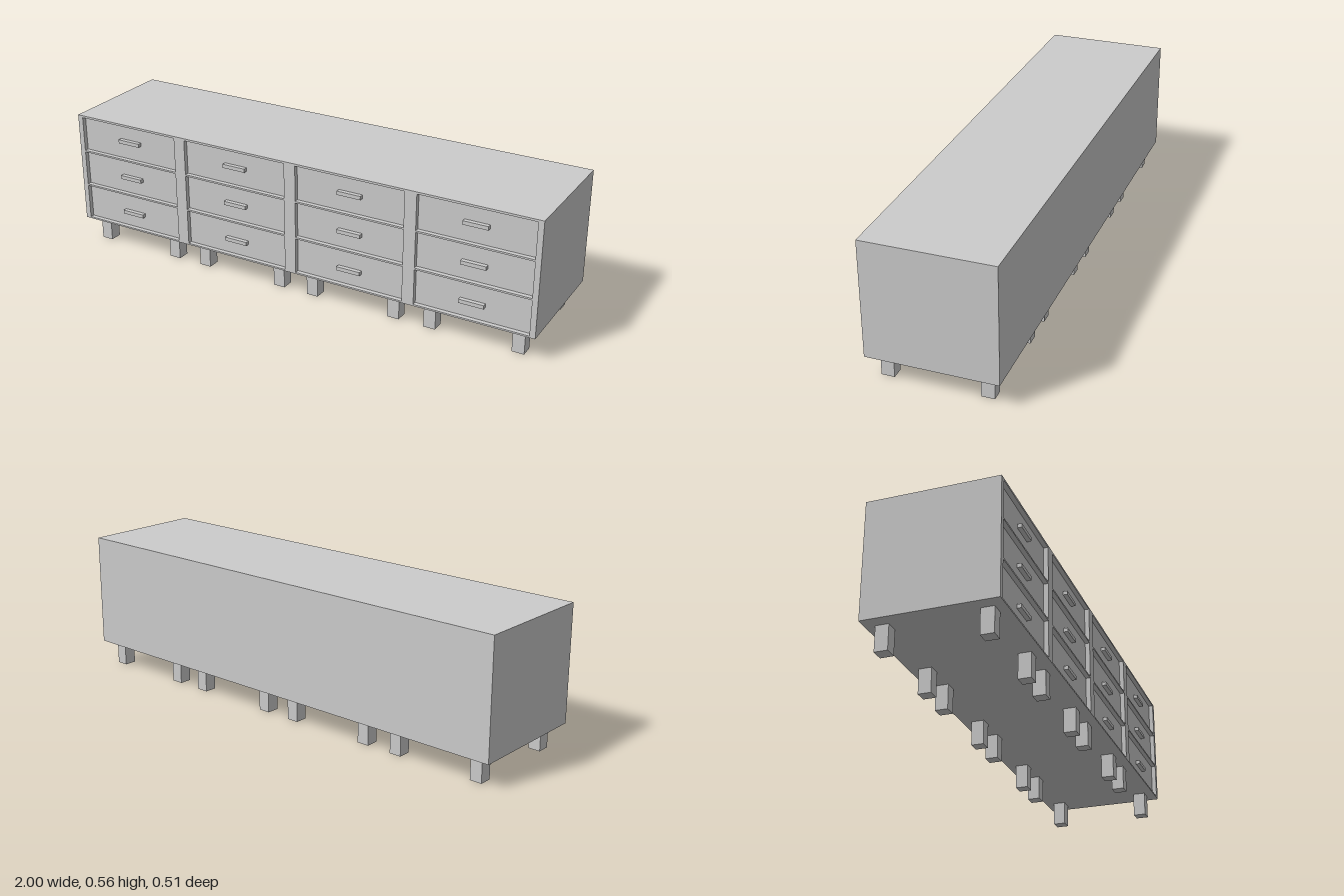
import * as THREE from 'three';

const material = new THREE.MeshStandardMaterial({ color: 0xcccccc, flatShading: true });

function add(parent, name, geometry, x, y, z) {
  const mesh = new THREE.Mesh(geometry, material);
  mesh.name = name;
  mesh.position.set(x, y, z);
  parent.add(mesh);
  return mesh;
}

function rectangle(target, x0, y0, x1, y1) {
  target.moveTo(x0, y0);
  target.lineTo(x1, y0);
  target.lineTo(x1, y1);
  target.lineTo(x0, y1);
  target.closePath();
  return target;
}

export function createModel() {
  const model = new THREE.Group();
  model.name = 'sideboard';

  const halfWidth = 0.998, halfDepth = 0.248;
  const bottom = 0.097, top = 0.555, recess = 0.018;
  const columns = [-0.75, -0.25, 0.25, 0.75];
  const rows = [0.475, 0.325, 0.175];
  const drawerWidth = 0.452, drawerHeight = 0.143;

  // Cabinet body, its front set back to the drawer faces
  const depth = 2 * halfDepth - recess;
  add(model, 'cabinetBody', new THREE.BoxGeometry(2 * halfWidth, top - bottom, depth),
    0, (top + bottom) / 2, -recess / 2);

  // Front frame with one opening per drawer
  const frame = rectangle(new THREE.Shape(), -halfWidth, bottom, halfWidth, top);
  for (const x of columns) {
    for (const y of rows) {
      frame.holes.push(rectangle(new THREE.Path(),
        x - drawerWidth / 2, y - drawerHeight / 2, x + drawerWidth / 2, y + drawerHeight / 2));
    }
  }
  add(model, 'frontFrame', new THREE.ExtrudeGeometry(frame, { depth: recess, bevelEnabled: false }),
    0, 0, halfDepth - recess);

  // Bar handles, nearly flush with the frame
  const handle = new THREE.BoxGeometry(0.098, 0.015, 0.017);
  const handleHeights = [0.478, 0.322, 0.167];
  for (const x of columns) {
    for (const y of handleHeights) {
      add(model, 'drawerHandle', handle, x, y, halfDepth - recess + 0.0085);
    }
  }

  // Four square legs under each column
  const leg = new THREE.BoxGeometry(0.048, bottom, 0.05);
  for (const x of columns) {
    for (const sx of [-1, 1]) {
      for (const sz of [-1, 1]) {
        add(model, sz > 0 ? 'frontLeg' : 'backLeg', leg, x + sx * 0.175, bottom / 2, sz * 0.186);
      }
    }
  }

  // The piece stands very slightly turned
  model.rotation.y = -0.0075;
  const group = new THREE.Group();
  group.name = 'drawerCabinet';
  group.add(model);
  return group;
}
